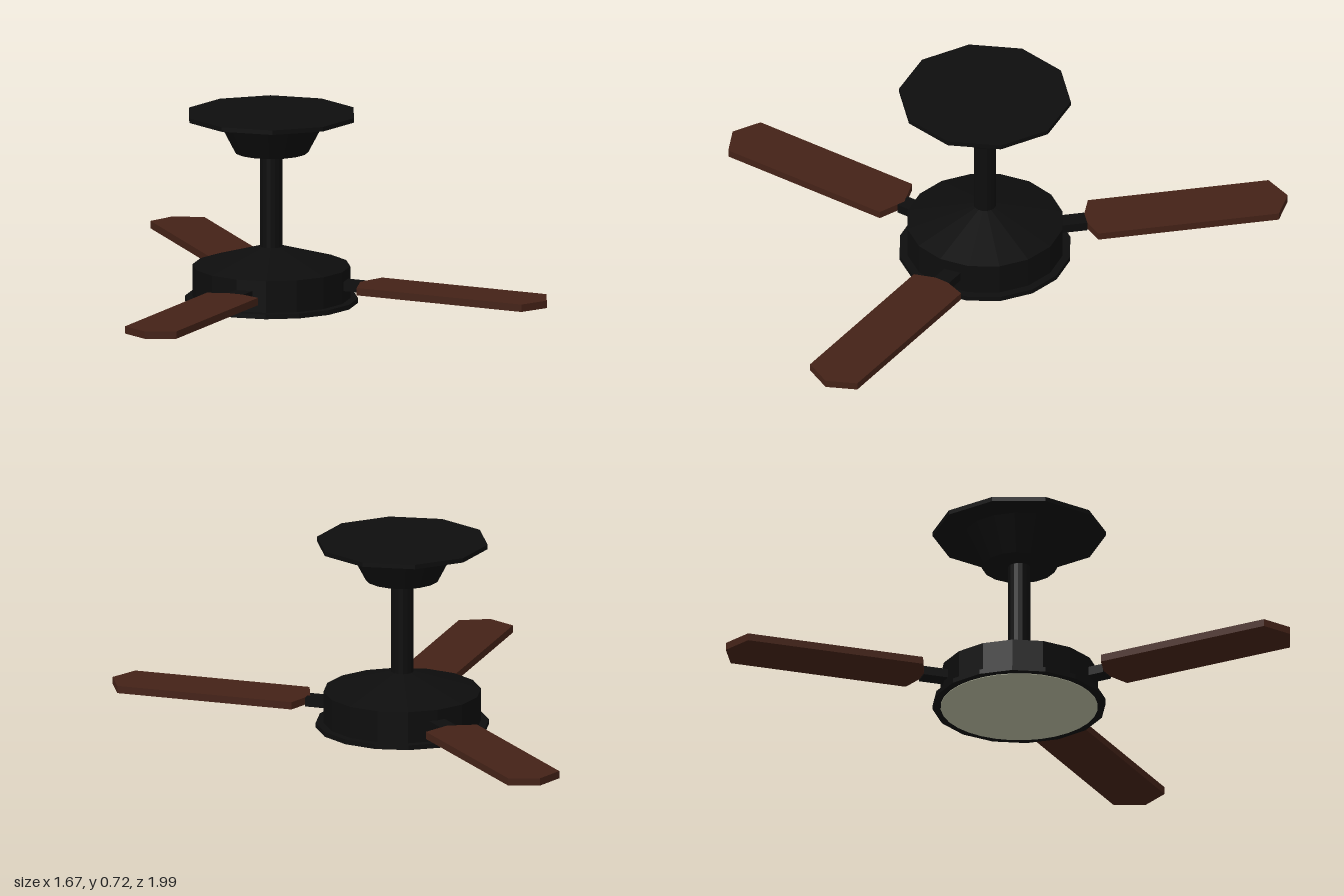
import * as THREE from 'three';

const CX = -0.027, CZ = 0.138; // axis of the motor and rod

const paint = (color) => new THREE.MeshStandardMaterial({ color, flatShading: true });
const black = paint(0x0d0d0d);
const wood = paint(0x442217);
const glass = paint(0xb4b59c);

function add(parent, name, geometry, material) {
  const mesh = new THREE.Mesh(geometry, material);
  mesh.name = name;
  parent.add(mesh);
  return mesh;
}

// Upright drum between two heights, centred on the fan axis
function drum(parent, name, rTop, rBottom, y0, y1, sides, material = black) {
  const mesh = add(parent, name, new THREE.CylinderGeometry(rTop, rBottom, y1 - y0, sides), material);
  mesh.position.set(CX, (y0 + y1) / 2, CZ);
  mesh.rotation.y = Math.PI / 2;
  return mesh;
}

// Flat board with pointed ends, running along +x from the inner tip
function bladeGeometry() {
  const length = 0.772, half = 0.106, inner = 0.038, outer = 0.053;
  const shape = new THREE.Shape([
    [0, 0], [inner, -half], [length - outer, -half],
    [length, 0], [length - outer, half], [inner, half],
  ].map(([x, y]) => new THREE.Vector2(x, y)));
  const geometry = new THREE.ExtrudeGeometry(shape, { depth: 0.028, bevelEnabled: false });
  return geometry.rotateX(-Math.PI / 2);
}

export function createModel() {
  const fan = new THREE.Group();
  fan.name = 'ceilingFan';

  // Ceiling mount and rod
  drum(fan, 'ceilingPlate', 0.321, 0.321, 0.7, 0.717, 10);
  drum(fan, 'canopy', 0.208, 0.137, 0.57, 0.705, 16);
  drum(fan, 'downRod', 0.042, 0.042, 0.19, 0.58, 16);

  // Motor housing with sloped cover
  drum(fan, 'motorCover', 0.042, 0.293, 0.14, 0.213, 16);
  drum(fan, 'motorHousing', 0.293, 0.293, 0.015, 0.14, 16);
  drum(fan, 'lowerRim', 0.322, 0.322, 0.002, 0.02, 16);
  drum(fan, 'lightPanel', 0.292, 0.292, 0, 0.01, 32, glass);

  // Blades: inner tip x, z and turn about y
  const blades = [
    [-0.027, -0.232, Math.PI / 2],
    [0.25, 0.347, -Math.PI / 4],
    [-0.25, 0.4, -Math.PI * 3 / 4],
  ];
  const board = bladeGeometry();
  blades.forEach(([x, z, turn], i) => {
    const arm = new THREE.Group();
    arm.name = `bladeArm${i + 1}`;
    arm.position.set(x, 0, z);
    arm.rotation.y = turn;
    add(arm, 'blade', board, wood).position.y = 0.072;
    add(arm, 'bladeBracket', new THREE.BoxGeometry(0.16, 0.034, 0.065), black).position.set(-0.07, 0.083, 0);
    fan.add(arm);
  });

  return fan;
}
